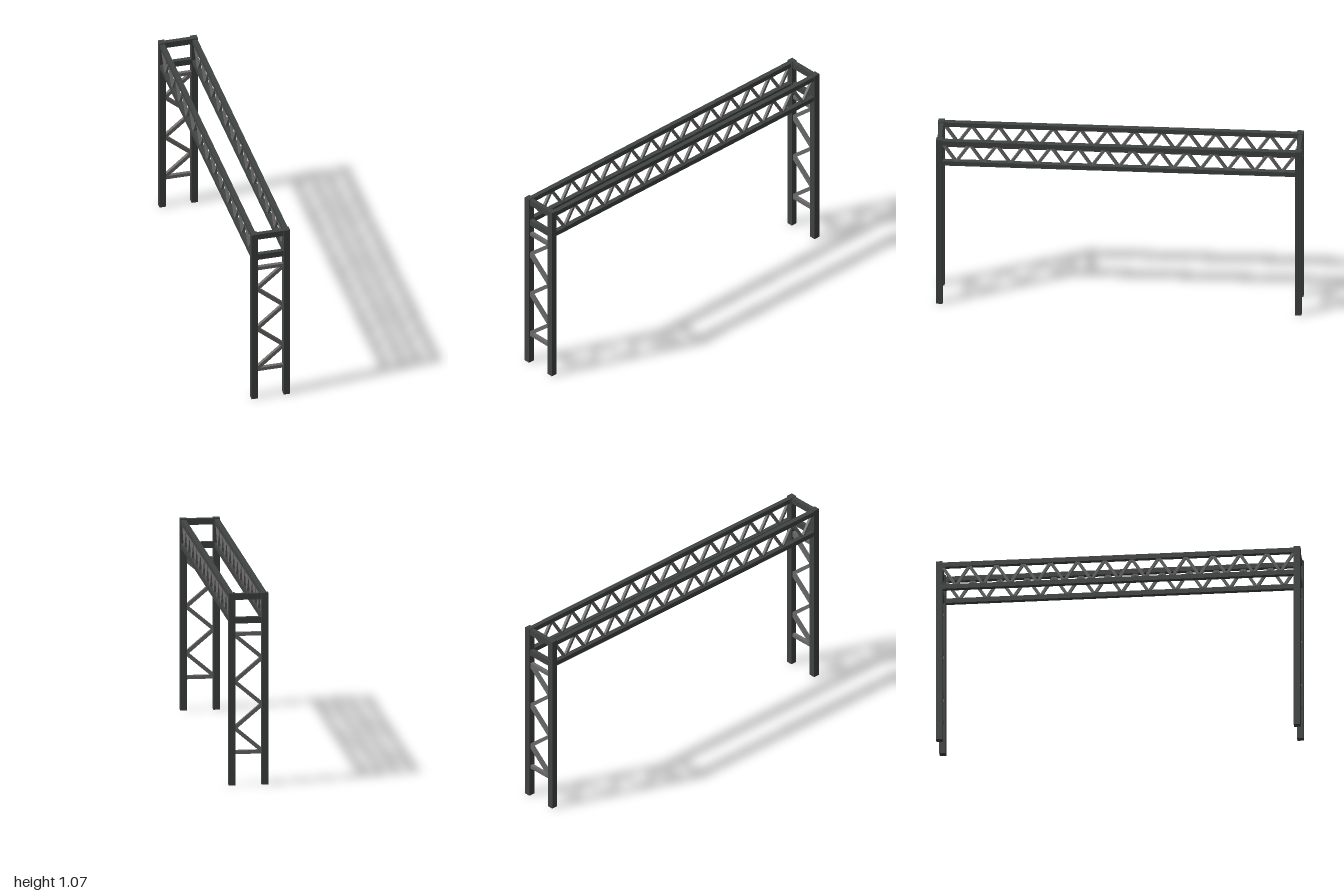
import * as THREE from 'three';

export function createModel() {
  const group = new THREE.Group();
  const frame = new THREE.MeshStandardMaterial({ color: 0x404443 });
  frame.name = 'dark steel';
  const lattice = new THREE.MeshStandardMaterial({ color: 0x6c6b6a });
  lattice.name = 'grey steel';

  const zAxis = new THREE.Vector3(0, 0, 1);

  function box(name, mat, w, h, d, x, y, z) {
    const m = new THREE.Mesh(new THREE.BoxGeometry(w, h, d), mat);
    m.name = name;
    m.position.set(x, y, z);
    group.add(m);
    return m;
  }

  // Square bar lying in the plane x = const, from (y0, z0) to (y1, z1)
  function beamBar(x, y0, z0, y1, z1, t) {
    const m = box('beamDiagonal', lattice, t, t, Math.hypot(y1 - y0, z1 - z0), x, (y0 + y1) / 2, (z0 + z1) / 2);
    m.quaternion.setFromUnitVectors(zAxis, new THREE.Vector3(0, y1 - y0, z1 - z0).normalize());
  }

  const legX = 0.091, legZ = 0.982, legW = 0.036, height = 1.072;
  const topY = 1.052, lowY = 0.92, span = 0.965;

  // Four legs
  for (const sx of [-1, 1])
    for (const sz of [-1, 1])
      box('leg', frame, legW, height, legW, sx * legX, height / 2, sz * legZ);

  // Long chords and their zigzag webs
  for (const sx of [-1, 1]) {
    const x = sx * 0.092;
    for (const y of [topY, lowY]) box('beamChord', frame, 0.027, 0.027, span * 2, x, y, 0);
    const n = 26, step = (span * 2) / n;
    for (let i = 0; i < n; i++) {
      const up = i % 2 === 0;
      beamBar(x, up ? topY - 0.008 : lowY + 0.008, -span + i * step,
        up ? lowY + 0.008 : topY - 0.008, -span + (i + 1) * step, 0.015);
    }
  }

  // End towers: cross beams, thin rungs and zigzag bracing
  const inner = 0.146;
  for (const sz of [-1, 1]) {
    const z = sz * legZ;
    for (const y of [topY, lowY]) box('crossBeam', frame, inner, 0.034, 0.025, 0, y, z);
    for (const y of [0.183, 0.843]) box('towerRung', lattice, inner, 0.02, 0.02, 0, y, z);
    for (let i = 0; i < 5; i++) {
      const s = i % 2 === 0 ? 1 : -1;
      const m = box('towerDiagonal', lattice, Math.hypot(0.15, 0.13), 0.02, 0.02, 0, 0.253 + i * 0.13, z);
      m.rotation.z = s * Math.atan2(0.13, 0.15) * 0.985;
    }
  }
  return group;
}
